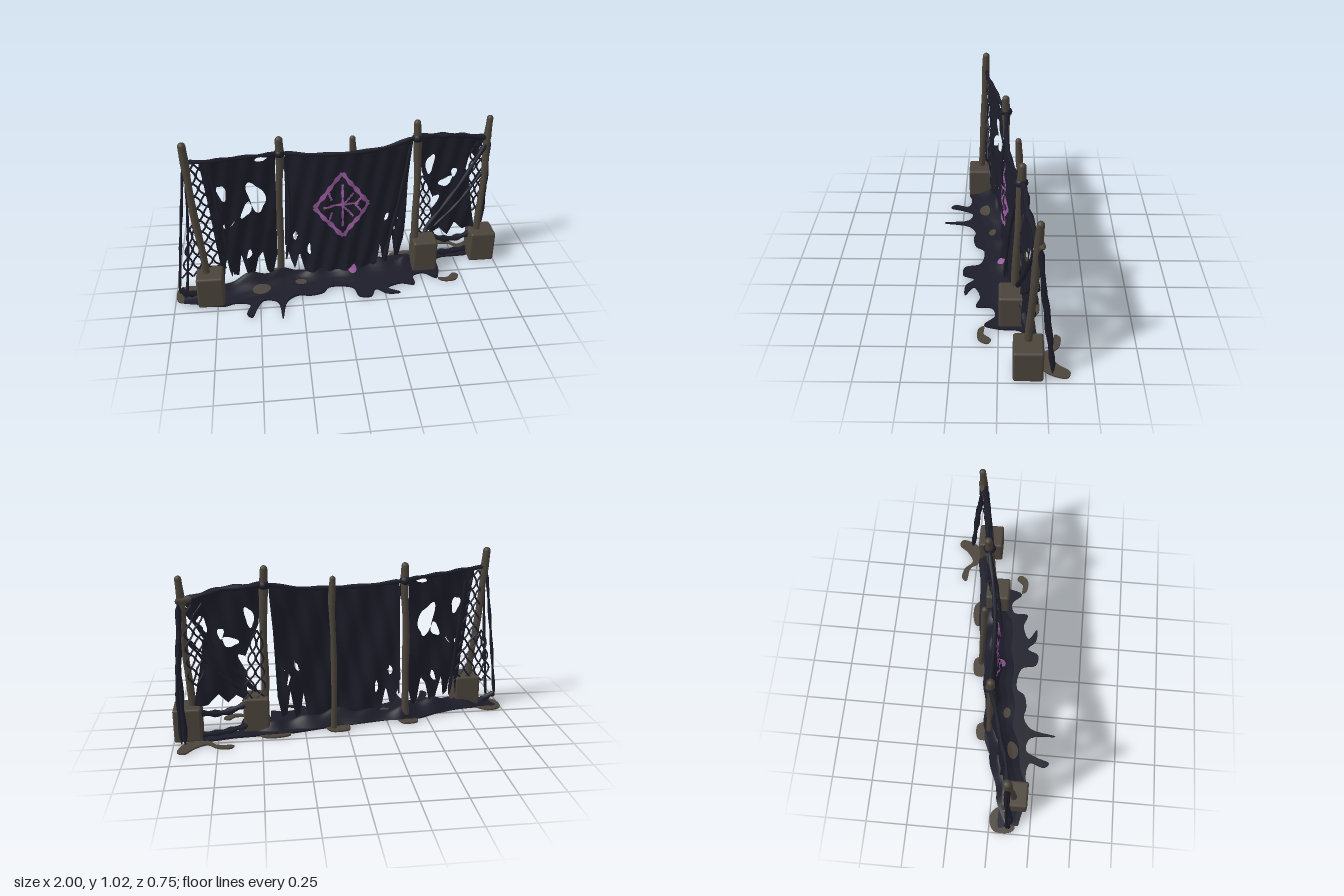
import * as THREE from 'three';
import { RoundedBoxGeometry } from 'three/addons/geometries/RoundedBoxGeometry.js';

const flat = (name, color, side = THREE.FrontSide) => {
  const m = new THREE.MeshStandardMaterial({ color, side });
  m.name = name;
  return m;
};
const V = (x, y, z) => new THREE.Vector3(x, y, z);
// piecewise linear lookup in a list of [x, y]
const lookup = (pts, x) => {
  if (x <= pts[0][0]) return pts[0][1];
  for (let i = 1; i < pts.length; i++) {
    const [a, b] = [pts[i - 1], pts[i]];
    if (x <= b[0]) return THREE.MathUtils.lerp(a[1], b[1], (x - a[0]) / (b[0] - a[0]));
  }
  return pts[pts.length - 1][1];
};

// the run of the screen in plan, its sagging top edge, and the bays between posts
const LINE = [[-0.98, 0.12], [-0.865, 0.1], [-0.345, -0.035], [0.46, -0.12], [0.95, -0.2]];
const TOP = [[-0.87, 0.9], [-0.6, 0.88], [-0.37, 0.865], [-0.1, 0.835], [0.1, 0.835], [0.3, 0.845], [0.46, 0.885], [0.7, 0.87], [0.92, 0.82]];
const BAYS = [-0.865, -0.345, 0.46, 0.915];
const BELLY = [0.015, 0.055, 0.02];

// depth of the draped cloth, with belly and uneven folds
function clothZ(x, y) {
  let belly = 0;
  for (let i = 0; i < 3; i++) {
    const t = (x - BAYS[i]) / (BAYS[i + 1] - BAYS[i]);
    if (t > 0 && t < 1) belly = BELLY[i] * Math.sin(Math.PI * t);
  }
  const loose = 1 - 0.55 * y;
  return lookup(LINE, x) + loose * (belly + 0.01 * Math.sin(x * 27 + y * 9) + 0.007 * Math.sin(x * 61 - y * 12));
}

// low heaped fold along the foot of the cloth; s runs from front to back
const HEAP = [[0, 0], [0.25, 0.14], [0.45, 0.42], [0.62, 0.95], [0.7, 1], [0.8, 0.75], [1, 0]];
function heapPoint(x, s) {
  const ends = Math.max(0, Math.min(1, (0.75 - Math.abs(x + 0.2)) / 0.15));
  const h = ends * (0.06 + 0.018 * Math.sin(x * 11 + 1) + 0.012 * Math.sin(x * 31));
  const z = (0.14 - 0.19 * s) * (0.4 + 0.6 * ends);
  return V(x, 0.013 + h * lookup(HEAP, s), lookup(LINE, x) + z + 0.008 * Math.sin(x * 24));
}

export function createModel() {
  const root = new THREE.Group();
  const wood = flat('weathered brown', 0x4b443b);
  const cloth = flat('dark cloth', 0x1d1d2a, THREE.DoubleSide);
  const paint = flat('purple paint', 0x985a9e, THREE.DoubleSide);
  const add = (name, geo, mat, parent = root) => {
    const m = new THREE.Mesh(geo, mat);
    m.name = name;
    parent.add(m);
    return m;
  };
  const group = (name) => {
    const g = new THREE.Group();
    g.name = name;
    root.add(g);
    return g;
  };

  // tube through points whose radius follows a rule of t
  const limb = (name, pts, radius, mat, parent, segs = 24, sides = 8) => {
    const curve = new THREE.CatmullRomCurve3(pts);
    const geo = new THREE.TubeGeometry(curve, segs, 1, sides);
    const p = geo.attributes.position, v = V(0, 0, 0);
    for (let i = 0; i <= segs; i++) {
      const c = curve.getPointAt(i / segs), r = radius(i / segs);
      for (let j = 0; j <= sides; j++) {
        const k = i * (sides + 1) + j;
        v.fromBufferAttribute(p, k).sub(c).multiplyScalar(r).add(c);
        p.setXYZ(k, v.x, v.y, v.z);
      }
    }
    return add(name, geo, mat, parent);
  };
  const rope = (pts, r, parent) =>
    limb('rope', pts, (t) => r * (t === 0 || t === 1 ? 0.3 : 1 + 0.25 * Math.sin(t * 23)), cloth, parent, 16, 6);

  // posts with domed tops: bottom, centre of dome, radius
  const posts = group('posts');
  [[[-0.795, 0, 0.145], [-0.864, 0.995, 0.097], 0.022],
    [[-0.368, 0, -0.05], [-0.345, 0.945, -0.033], 0.022],
    [[0.082, 0, -0.15], [0.08, 0.9, -0.105], 0.018],
    [[0.487, 0, -0.08], [0.46, 0.97, -0.12], 0.023],
    [[0.885, 0, -0.145], [0.915, 0.945, -0.197], 0.021]].forEach(([b, t, r], i) => {
    const a = V(...b), c = V(...t);
    const pts = [0, 0.3, 0.6, 0.85, 1].map((k, n) => a.clone().lerp(c, k).add(V(0.006 * Math.sin(n * 2 + i) * (n % 4 ? 1 : 0), 0, 0)));
    const girth = (k) => r * (0.95 + 0.06 * Math.sin(k * 14 + i) + 0.16 * Math.exp(-(((k - 0.89) / 0.06) ** 2)));
    limb('post', pts, girth, wood, posts, 50, 12);
    add('postTop', new THREE.SphereGeometry(girth(1), 14, 10), wood, posts).position.copy(c);
  });
  limb('branchStub', [V(0.85, 0.834, -0.185), V(0.91, 0.825, -0.203), V(0.938, 0.825, -0.212)],
    (t) => 0.02 * Math.sqrt(Math.max(0.001, 1 - (2 * t - 1) ** 4)), wood, posts);

  // footing blocks
  const blocks = group('footings');
  [[-0.785, 0.2, 0.143, 0.155], [0.53, 0.21, -0.075, 0.15], [0.918, 0.2, -0.157, 0.158]].forEach(([x, h, z, w]) => {
    add('footing', new RoundedBoxGeometry(w, h, w, 3, 0.014), wood, blocks).position.set(x, h / 2 + 0.003, z);
  });

  // torn cloth panel: fine grid with a ragged lower edge and tilted oval holes
  function panel(name, left, right, bottom, holes, nu, nv) {
    const pos = [], gone = [], idx = [];
    for (let j = 0; j <= nv; j++) for (let i = 0; i <= nu; i++) {
      const v = j / nv;
      let x = THREE.MathUtils.lerp(lookup(left, v), lookup(right, v), i / nu);
      let y = THREE.MathUtils.lerp(lookup(bottom, x), lookup(TOP, x), v), inside = false;
      for (const [hx, hy, rx, ry, tilt = 0] of holes) {
        const c = Math.cos(tilt), s = Math.sin(tilt), dx = x - hx, dy = y - hy;
        const a = (dx * c + dy * s) / rx, b = (dy * c - dx * s) / ry, th = Math.atan2(b, a);
        const f = Math.hypot(a, b) / (1 + 0.16 * Math.sin(3 * th + hx * 9));
        if (f < 1 && f > 1e-4) { x = hx + dx / f; y = hy + dy / f; inside = true; }
      }
      gone.push(inside);
      pos.push(x, y, clothZ(x, y));
    }
    for (let j = 0; j < nv; j++) for (let i = 0; i < nu; i++) {
      const a = j * (nu + 1) + i, b = a + 1, c = a + nu + 1, d = c + 1;
      if (gone[a] && gone[b] && gone[c] && gone[d]) continue;
      idx.push(a, b, d, a, d, c);
    }
    const geo = new THREE.BufferGeometry();
    geo.setAttribute('position', new THREE.Float32BufferAttribute(pos, 3));
    geo.setIndex(idx);
    geo.computeVertexNormals();
    add(name, geo, cloth);
  }
  panel('rightPanel', [[0, -0.71], [1, -0.79]], [[0, -0.385], [1, -0.37]],
    [[-0.78, 0.3], [-0.74, 0.1], [-0.71, 0.07], [-0.69, 0.22], [-0.67, 0.24], [-0.65, 0.12], [-0.62, 0.1], [-0.6, 0.24], [-0.57, 0.1], [-0.53, 0.06], [-0.5, 0.2], [-0.47, 0.24], [-0.45, 0.1], [-0.42, 0.05], [-0.37, 0.24]],
    [[-0.68, 0.68, 0.024, 0.05, 0.2], [-0.49, 0.61, 0.045, 0.1, 0.3], [-0.55, 0.54, 0.025, 0.05, -0.5], [-0.66, 0.46, 0.042, 0.017, 0.4], [-0.45, 0.848, 0.04, 0.012], [-0.55, 0.24, 0.013, 0.035, -0.3]], 70, 80);
  panel('middlePanel', [[0, -0.335], [1, -0.315]], [[0, 0.405], [0.6, 0.42], [1, 0.44]],
    [[-0.33, 0.25], [-0.3, 0.12], [-0.28, 0.07], [-0.25, 0.2], [-0.22, 0.06], [-0.18, 0.03], [0.2, 0.03], [0.23, 0.06], [0.25, 0.2], [0.27, 0.07], [0.3, 0.05], [0.33, 0.24], [0.35, 0.08], [0.38, 0.07], [0.405, 0.2]],
    [[-0.27, 0.31, 0.015, 0.035, 0.2], [0.34, 0.31, 0.018, 0.055, -0.3], [0.29, 0.38, 0.01, 0.035, -0.3], [-0.19, 0.21, 0.01, 0.04]], 110, 85);
  panel('leftPanel', [[0, 0.58], [0.4, 0.58], [0.65, 0.5], [1, 0.475]], [[0, 0.88], [0.3, 0.84], [0.65, 0.8], [1, 0.9]],
    [[0.5, 0.24], [0.58, 0.2], [0.64, 0.24], [0.69, 0.19], [0.74, 0.26], [0.8, 0.2], [0.87, 0.2]],
    [[0.55, 0.7, 0.024, 0.06, -0.2], [0.66, 0.565, 0.045, 0.028, 0.3], [0.71, 0.62, 0.018, 0.03], [0.59, 0.44, 0.02, 0.05, -0.4], [0.81, 0.68, 0.025, 0.05, -0.3]], 60, 80);

  // diamond netting between two edges given as end points [x, y]
  function net(l0, l1, r0, r1, n, m) {
    const g = group('netting');
    for (let c = 0; c < n; c++) for (const flip of [0, 1]) {
      const pts = [];
      for (let r = 0; r <= m; r++) {
        const v = r / m, u = (c + ((r + flip) % 2) * 0.94 + 0.03) / n;
        const x = THREE.MathUtils.lerp(l0[0] + (l1[0] - l0[0]) * v, r0[0] + (r1[0] - r0[0]) * v, u);
        const y = THREE.MathUtils.lerp(l0[1] + (l1[1] - l0[1]) * v, r0[1] + (r1[1] - r0[1]) * v, u);
        pts.push(V(x, y, clothZ(x, y)));
      }
      limb('netCord', pts, () => 0.0055, cloth, g, m * 5, 5);
    }
  }
  net([-0.82, 0.18], [-0.86, 0.88], [-0.69, 0.18], [-0.77, 0.88], 2, 9);
  net([-0.95, 0.16], [-0.88, 0.5], [-0.82, 0.16], [-0.84, 0.5], 2, 4);
  net([0.47, 0.2], [0.48, 0.62], [0.61, 0.2], [0.54, 0.62], 2, 5);
  net([0.81, 0.35], [0.8, 0.8], [0.9, 0.3], [0.91, 0.8], 2, 6);

  // top rope and the wrapped cloth round the inner posts
  const ropes = group('ropes');
  for (let i = 0; i < 3; i++) {
    const pts = [0, 0.25, 0.5, 0.75, 1].map((t) => {
      const x = THREE.MathUtils.lerp(BAYS[i], BAYS[i + 1], t), y = lookup(TOP, x);
      return V(x, y, clothZ(x, y));
    });
    rope(pts, i === 2 ? 0.016 : 0.012, ropes);
  }
  [[-0.345, 0.862, -0.037], [0.464, 0.878, -0.116]].forEach(([x, y, z]) => {
    const wrap = add('wrap', new THREE.SphereGeometry(0.036, 14, 10), cloth, ropes);
    wrap.scale.set(0.85, 0.8, 1);
    wrap.position.set(x, y, z);
  });
  // guy lines and loose straps
  [[[-0.87, 0.88, 0.1], [-0.92, 0.5, 0.1], [-0.975, 0.05, 0.11], 0.009],
    [[-0.86, 0.8, 0.11], [-0.89, 0.4, 0.11], [-0.93, 0.03, 0.14], 0.008],
    [[-0.97, 0.07, 0.11], [-0.92, 0.04, 0.12], [-0.86, 0.015, 0.1], 0.017],
    [[0.92, 0.82, -0.2], [0.94, 0.45, -0.235], [0.93, 0.02, -0.29], 0.015],
    [[0.92, 0.7, -0.21], [0.955, 0.35, -0.26], [0.95, 0.02, -0.285], 0.01],
    [[0.91, 0.8, -0.18], [0.74, 0.52, -0.14], [0.53, 0.24, -0.1], 0.013],
    [[0.9, 0.6, -0.18], [0.75, 0.4, -0.15], [0.6, 0.26, -0.12], 0.009],
    [[0.58, 0.18, -0.13], [0.72, 0.14, -0.15], [0.88, 0.16, -0.18], 0.018],
    [[0.58, 0.05, -0.14], [0.72, 0.03, -0.17], [0.88, 0.03, -0.2], 0.018],
    [[-0.74, 0.85, 0.07], [-0.7, 0.5, 0.06], [-0.66, 0.1, 0.05], 0.009],
    [[0.43, 0.86, -0.11], [0.36, 0.5, -0.06], [0.27, 0.08, -0.03], 0.009],
    [[-0.32, 0.84, -0.04], [-0.3, 0.5, -0.01], [-0.33, 0.15, -0.02], 0.008]]
    .forEach(([a, b, c, r]) => rope([V(...a), V(...b), V(...c)], r, ropes));

  // flat smooth-edged piece lying on the ground, outline as [x, z]
  const patch = (name, pts, mat, y, depth) => {
    const curve = new THREE.CatmullRomCurve3(pts.map(([x, z]) => V(x, -z, 0)), true);
    const geo = new THREE.ExtrudeGeometry(new THREE.Shape(curve.getPoints(pts.length * 5)), { depth, bevelEnabled: false });
    add(name, geo.rotateX(-Math.PI / 2).translate(0, y, 0), mat);
  };
  patch('groundCloth', [[-0.97, 0.06], [-0.85, 0.05], [-0.7, 0.03], [-0.58, -0.01], [-0.42, -0.08], [-0.3, -0.07], [-0.1, -0.1], [0.12, -0.14], [0.35, -0.19],
    [0.5, -0.2], [0.65, -0.21], [0.85, -0.23], [0.85, -0.16], [0.64, -0.13], [0.62, 0.0], [0.59, 0.08], [0.52, 0.02], [0.45, 0.04], [0.44, 0.13], [0.36, 0.11], [0.27, 0.15],
    [0.34, 0.2], [0.26, 0.2], [0.2, 0.15], [0.16, 0.22], [0.09, 0.21], [0.06, 0.12], [-0.08, 0.1], [-0.12, 0.15], [-0.2, 0.17], [-0.27, 0.16], [-0.34, 0.21],
    [-0.375, 0.37], [-0.4, 0.21], [-0.48, 0.19], [-0.52, 0.26], [-0.55, 0.34], [-0.58, 0.31], [-0.56, 0.22], [-0.65, 0.2], [-0.72, 0.22], [-0.9, 0.16]], cloth, 0.002, 0.01);
  [[[-0.99, 0.03], [-0.9, 0.0], [-0.84, 0.06], [-0.88, 0.14], [-0.98, 0.15]],
    [[-0.43, -0.12], [-0.34, -0.13], [-0.32, -0.04], [-0.42, -0.03]],
    [[-0.01, -0.18], [0.1, -0.19], [0.12, -0.1], [0.0, -0.09]],
    [[0.34, -0.21], [0.48, -0.23], [0.53, -0.16], [0.36, -0.15]],
    [[0.6, 0.08], [0.66, 0.08], [0.7, 0.04], [0.73, 0.06], [0.7, 0.11], [0.62, 0.11]],
    [[0.66, -0.31], [0.68, -0.34], [0.75, -0.33], [0.81, -0.28], [0.88, -0.32], [0.93, -0.38], [0.97, -0.36], [0.92, -0.24], [0.8, -0.24], [0.76, -0.29]]]
    .forEach((pts) => patch('groundPatch', pts, wood, 0.001, 0.009));

  // lay a flat geometry over the heap: centre x, centre s, widths in x and s, lift
  const drape = (name, geo, mat, cx, cs, wx, ws, lift) => {
    const p = geo.attributes.position;
    for (let i = 0; i < p.count; i++) {
      const q = heapPoint(cx + p.getX(i) * wx, cs + p.getY(i) * ws);
      p.setXYZ(i, q.x, q.y + lift, q.z);
    }
    geo.computeVertexNormals();
    add(name, geo, mat);
  };
  const disc = () => new THREE.RingGeometry(0.001, 1, 20, 4);
  drape('heapedFold', new THREE.PlaneGeometry(1, 1, 120, 20), cloth, -0.2, 0.5, 1.5, 1, 0);
  drape('heapBlotch', disc(), wood, -0.49, 0.22, 0.055, 0.18, 0.006);
  drape('heapBlotch', disc(), wood, -0.25, 0.25, 0.035, 0.12, 0.006);
  drape('paintSpot', disc(), paint, 0.075, 0.42, 0.026, 0.13, 0.007);

  // painted diamond motif, ribbons laid on the middle panel
  const motif = group('paintedMotif');
  const stroke = (x0, y0, x1, y1, w) => {
    const geo = new THREE.PlaneGeometry(1, 1, 18, 2), p = geo.attributes.position;
    const len = Math.hypot(x1 - x0, y1 - y0), nx = -(y1 - y0) / len, ny = (x1 - x0) / len;
    for (let i = 0; i < p.count; i++) {
      const t = p.getX(i) + 0.5, o = p.getY(i) * w * (1 + 0.3 * Math.sin(t * 25 + x0 * 40));
      const x = x0 + (x1 - x0) * t + nx * o, y = y0 + (y1 - y0) * t + ny * o;
      p.setXYZ(i, x, y, clothZ(x, y) + 0.007);
    }
    geo.computeVertexNormals();
    add('stroke', geo, paint, motif);
  };
  const T = [0.013, 0.715], B = [0.02, 0.29], L = [-0.155, 0.5], R = [0.172, 0.5];
  [[L, T], [T, R], [B, R], [L, B]].forEach(([a, b]) => stroke(...a, ...b, 0.024));
  stroke(0.015, 0.36, 0.015, 0.64, 0.014);
  stroke(-0.1, 0.5, 0.11, 0.51, 0.014);
  for (const s of [-1, 1]) {
    stroke(0.015, 0.5, 0.08, 0.5 + s * 0.08, 0.013);
    stroke(-0.07, 0.5 + s * 0.1, -0.05, 0.5 + s * 0.04, 0.014);
    stroke(0.09, 0.505, 0.13, 0.505 + s * 0.05, 0.013);
  }
  return root;
}
